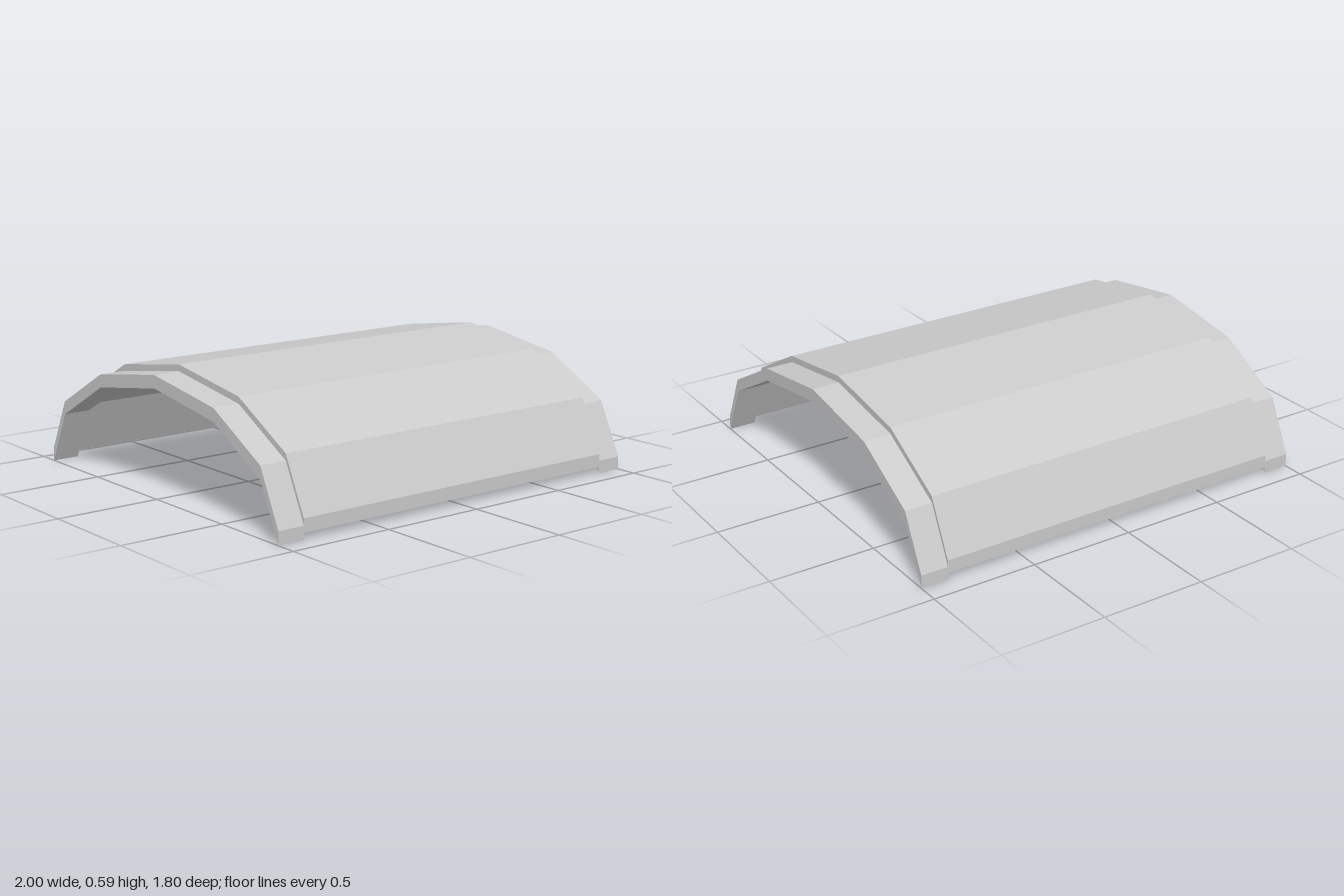
import * as THREE from 'three';

// Faceted arch, listed as [z, y] along its top edge
const arch = [[-0.9, 0.092], [-0.78, 0.342], [-0.45, 0.525], [0, 0.594],
  [0.45, 0.525], [0.78, 0.342], [0.9, 0.092]];
const THICKNESS = 0.061; // measured vertically
const DROP = 0.031;      // how far the end bands sit below the panel
const BAND = 0.13;       // width of each end band

const material = new THREE.MeshStandardMaterial({ color: 0xcccccc, flatShading: true });

// Extrudes the arched strip along x, centred on the given x
function archedStrip(name, x, width, drop) {
  const top = arch.map(([z, y]) => new THREE.Vector2(-z, y - drop));
  const bottom = top.map((p) => new THREE.Vector2(p.x, p.y - THICKNESS)).reverse();
  const geometry = new THREE.ExtrudeGeometry(new THREE.Shape([...top, ...bottom]),
    { depth: width, bevelEnabled: false });
  geometry.translate(0, 0, -width / 2);
  geometry.rotateY(Math.PI / 2); // shape x becomes -z, depth becomes x
  const mesh = new THREE.Mesh(geometry, material);
  mesh.name = name;
  mesh.position.x = x;
  return mesh;
}

export function createModel() {
  const group = new THREE.Group();
  group.name = 'archedCover';

  // Raised middle panel
  group.add(archedStrip('centrePanel', 0, 2 - 2 * BAND, 0));

  // Lower bands at both ends
  for (const [name, side] of [['leftBand', 1], ['rightBand', -1]]) {
    group.add(archedStrip(name, side * (1 - BAND / 2), BAND, DROP));
  }
  return group;
}
